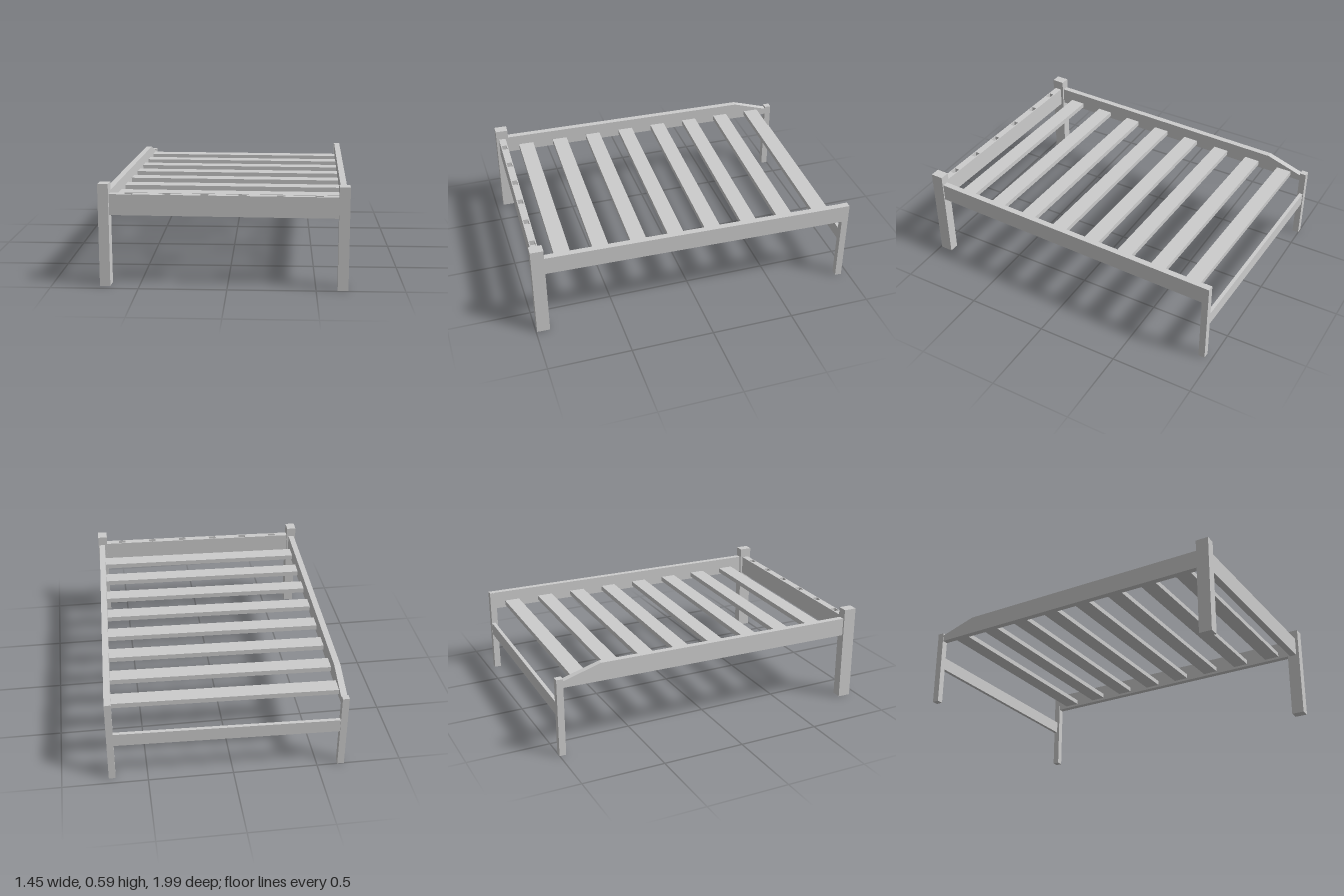
import * as THREE from 'three';

export function createModel() {
  const model = new THREE.Group();
  model.name = 'bedFrame';
  // the whole frame stands slightly turned
  model.rotation.y = -0.028;
  const material = new THREE.MeshStandardMaterial({ color: 0xcccccc, flatShading: true });

  function add(name, geometry) {
    const mesh = new THREE.Mesh(geometry, material);
    mesh.name = name;
    model.add(mesh);
    return mesh;
  }

  // box given by its limits on each axis
  function beam(name, x0, x1, y0, y1, z0, z1) {
    const mesh = add(name, new THREE.BoxGeometry(x1 - x0, y1 - y0, z1 - z0));
    mesh.position.set((x0 + x1) / 2, (y0 + y1) / 2, (z0 + z1) / 2);
    return mesh;
  }

  // thick front posts
  beam('frontLeftPost', 0.648, 0.708, 0, 0.59, 0.896, 0.974);
  beam('frontRightPost', -0.698, -0.638, 0, 0.59, 0.894, 0.972);

  // slim back posts
  beam('backLeftPost', 0.661, 0.701, 0, 0.529, -0.978, -0.938);
  beam('backRightPost', -0.69, -0.65, 0, 0.475, -0.982, -0.942);

  // left side rail
  beam('leftSideRail', 0.664, 0.701, 0.42, 0.53, -0.977, 0.915);

  // right side rail, its top sloping down at the back end
  const profile = new THREE.Shape([
    [-0.915, 0.42], [0.975, 0.42], [0.975, 0.45], [0.715, 0.53], [-0.915, 0.53],
  ].map(([z, y]) => new THREE.Vector2(z, y)));
  const rail = new THREE.ExtrudeGeometry(profile, { depth: 0.037, bevelEnabled: false });
  rail.rotateY(Math.PI / 2); // profile x becomes -z
  rail.translate(-0.687, 0, 0);
  add('rightSideRail', rail);

  // front board: solid lower part, upper part with a row of mortises
  const x0 = -0.645, x1 = 0.655, z0 = 0.911, z1 = 0.955;
  beam('frontBoard', x0, x1, 0.41, 0.5, z0, z1);
  const rect = (T, a, b, c, d) => {
    const p = new T();
    p.moveTo(a, c);
    p.lineTo(b, c);
    p.lineTo(b, d);
    p.lineTo(a, d);
    p.closePath();
    return p;
  };
  const top = rect(THREE.Shape, x0, x1, -z1, -z0);
  for (let i = 0; i < 6; i++) {
    const x = -0.53 + i * 0.214;
    top.holes.push(rect(THREE.Path, x - 0.023, x + 0.023, -0.949, -0.918));
  }
  const cap = new THREE.ExtrudeGeometry(top, { depth: 0.03, bevelEnabled: false });
  cap.rotateX(-Math.PI / 2);
  cap.translate(0, 0.5, 0);
  add('frontBoardTop', cap);

  // low back stretcher
  beam('backStretcher', -0.655, 0.666, 0.24, 0.32, -0.977, -0.955);

  // slats
  for (let i = 0; i < 8; i++) {
    const z = -0.83 + i * 0.2293;
    beam('slat' + (i + 1), -0.652, 0.666, 0.435, 0.465, z - 0.048, z + 0.048);
  }

  const group = new THREE.Group();
  group.add(model);
  return group;
}
